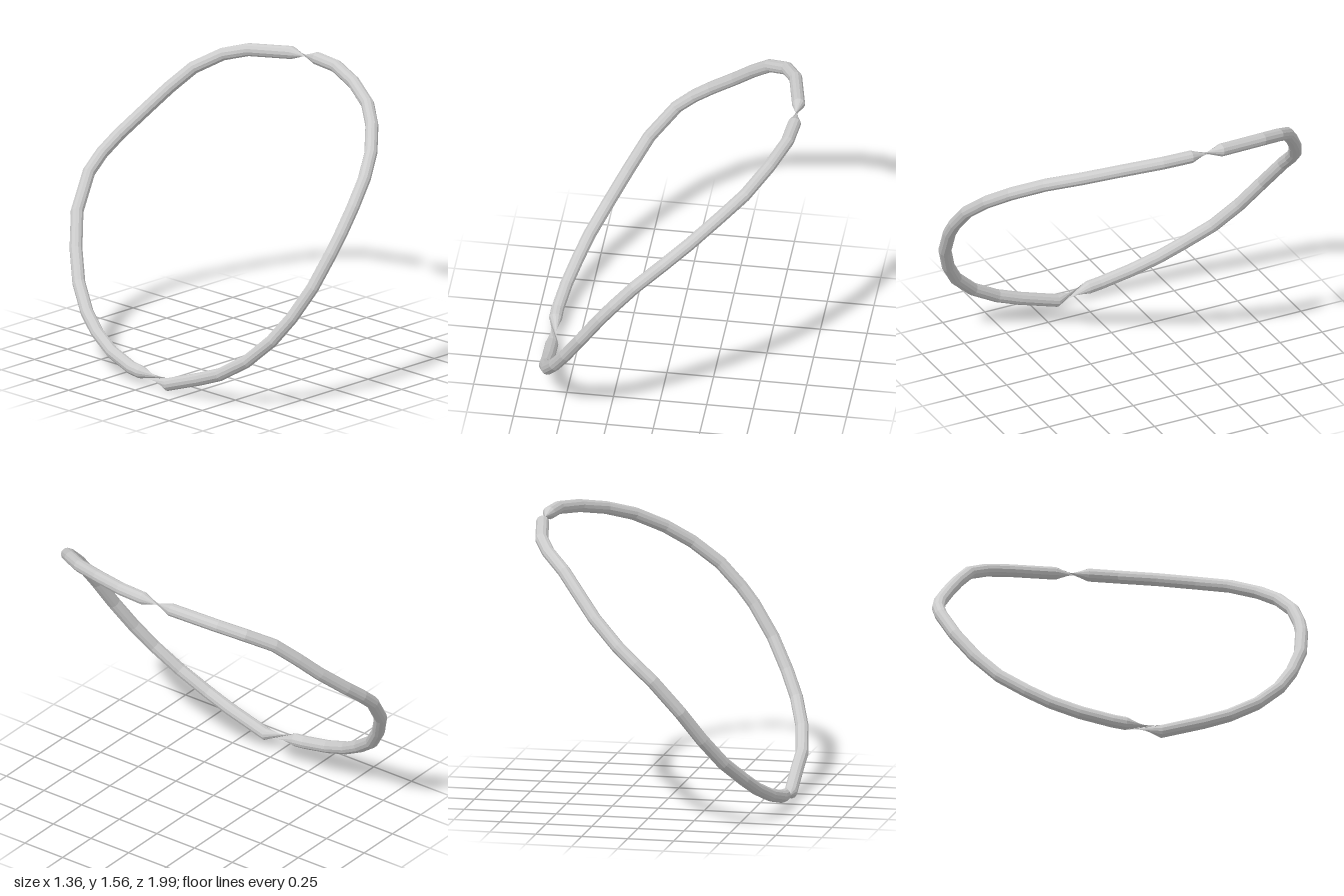
import * as THREE from 'three';

const SIDES = 12;
const RADIUS = 0.035;

// Centre line of the band, front half first and then the back half
const FRONT = [
  [0.645, 1.535, -0.02], [0.63, 1.53, 0.14], [0.56, 1.5, 0.34], [0.46, 1.45, 0.54],
  [0.34, 1.39, 0.69], [0.2, 1.3, 0.82], [0.07, 1.205, 0.9], [-0.07, 1.085, 0.95],
  [-0.18, 0.96, 0.965], [-0.25, 0.87, 0.963], [-0.36, 0.7, 0.935], [-0.45, 0.54, 0.87],
  [-0.52, 0.41, 0.79], [-0.58, 0.28, 0.66], [-0.615, 0.18, 0.5], [-0.62, 0.125, 0.36],
  [-0.635, 0.045, 0.13],
];
const BACK = [
  [-0.643, 0.072, -0.06], [-0.643, 0.08, -0.13], [-0.62, 0.125, -0.3], [-0.58, 0.19, -0.45],
  [-0.535, 0.265, -0.57], [-0.455, 0.38, -0.71], [-0.365, 0.525, -0.82], [-0.265, 0.69, -0.91],
  [-0.125, 0.865, -0.96], [-0.03, 0.95, -0.957], [0.07, 1.035, -0.93], [0.21, 1.165, -0.86],
  [0.31, 1.275, -0.79], [0.41, 1.38, -0.71], [0.52, 1.455, -0.6], [0.585, 1.495, -0.47],
  [0.64, 1.527, -0.2],
];

// Closed tube; the back half is rolled, so the band pinches at both joins
function twistedLoop(halves, roll) {
  const points = halves.flat().map((p) => new THREE.Vector3(...p));
  const count = points.length;
  const planeNormal = new THREE.Vector3(-0.76, 0.65, 0);
  const positions = [];
  const index = [];
  points.forEach((p, i) => {
    const before = points[(i + count - 1) % count];
    const after = points[(i + 1) % count];
    const tangent = p.clone().sub(before).normalize()
      .add(after.clone().sub(p).normalize()).normalize();
    const side = new THREE.Vector3().crossVectors(tangent, planeNormal).normalize();
    const up = new THREE.Vector3().crossVectors(side, tangent);
    const start = i < halves[0].length ? 0 : roll;
    for (let j = 0; j < SIDES; j++) {
      const a = start + (j / SIDES) * Math.PI * 2;
      const v = p.clone()
        .addScaledVector(up, Math.cos(a) * RADIUS)
        .addScaledVector(side, -Math.sin(a) * RADIUS);
      positions.push(v.x, v.y, v.z);
      const k = (j + 1) % SIDES;
      const here = i * SIDES;
      const next = ((i + 1) % count) * SIDES;
      index.push(here + j, here + k, next + j, here + k, next + k, next + j);
    }
  });
  const geometry = new THREE.BufferGeometry();
  geometry.setAttribute('position', new THREE.Float32BufferAttribute(positions, 3));
  geometry.setIndex(index);
  geometry.computeVertexNormals();
  return geometry;
}

export function createModel() {
  const group = new THREE.Group();
  group.name = 'twistedBand';
  const material = new THREE.MeshStandardMaterial({
    color: 0xcccccc, flatShading: true, side: THREE.DoubleSide,
  });
  const band = new THREE.Mesh(twistedLoop([FRONT, BACK], Math.PI * 0.88), material);
  band.name = 'band';
  group.add(band);
  return group;
}
